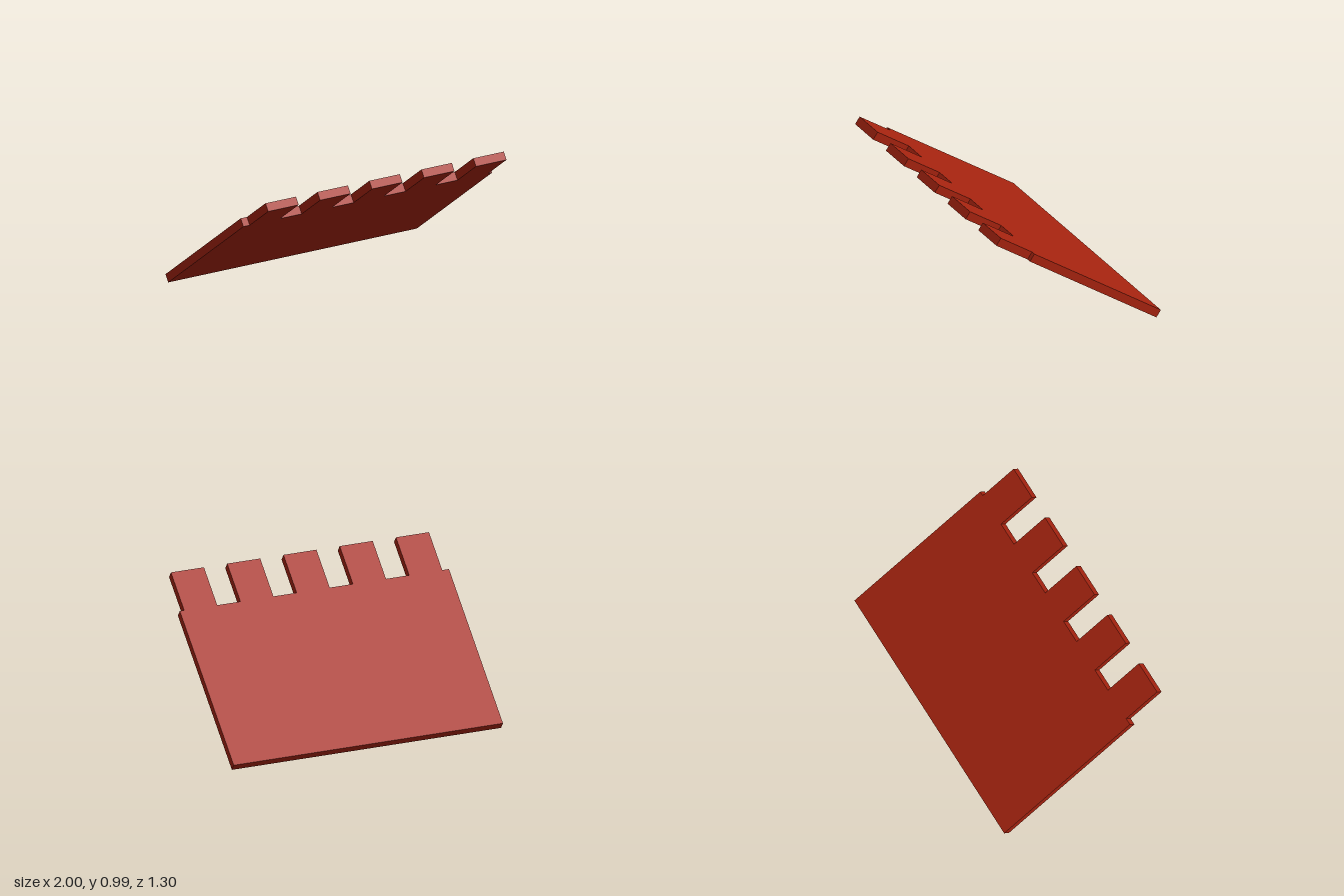
import * as THREE from 'three';

const LENGTH = 1.576;   // along the slope, teeth included
const TOOTH = 0.311;    // tooth length
const THICK = 0.061;
const SLOPE = 0.639;    // tilt from horizontal, in radians

export function createModel() {
  const group = new THREE.Group();
  const material = new THREE.MeshStandardMaterial({ color: 0xa82410, flatShading: true });

  // Flat outline: a rectangle with five teeth along its upper edge
  const top = LENGTH / 2;
  const notch = top - TOOTH;
  const outline = new THREE.Shape();
  outline.moveTo(-1, -top);
  outline.lineTo(1, -top);
  outline.lineTo(1, notch);
  for (let i = 4; i >= 0; i--) {
    const left = -0.95 + i * 0.418;
    const right = left + 0.245;
    outline.lineTo(right, notch);
    outline.lineTo(right, top);
    outline.lineTo(left, top);
    outline.lineTo(left, notch);
  }
  outline.lineTo(-1, notch);
  outline.closePath();

  // Slab, tilted so the toothed edge rises towards the front
  const geometry = new THREE.ExtrudeGeometry(outline, { depth: THICK, bevelEnabled: false });
  geometry.translate(0, 0, -THICK / 2);
  geometry.rotateX(Math.PI / 2 - SLOPE);
  geometry.computeBoundingBox();
  geometry.translate(0, -geometry.boundingBox.min.y, 0);

  const slab = new THREE.Mesh(geometry, material);
  slab.name = 'toothedRampPlate';
  group.add(slab);
  return group;
}
